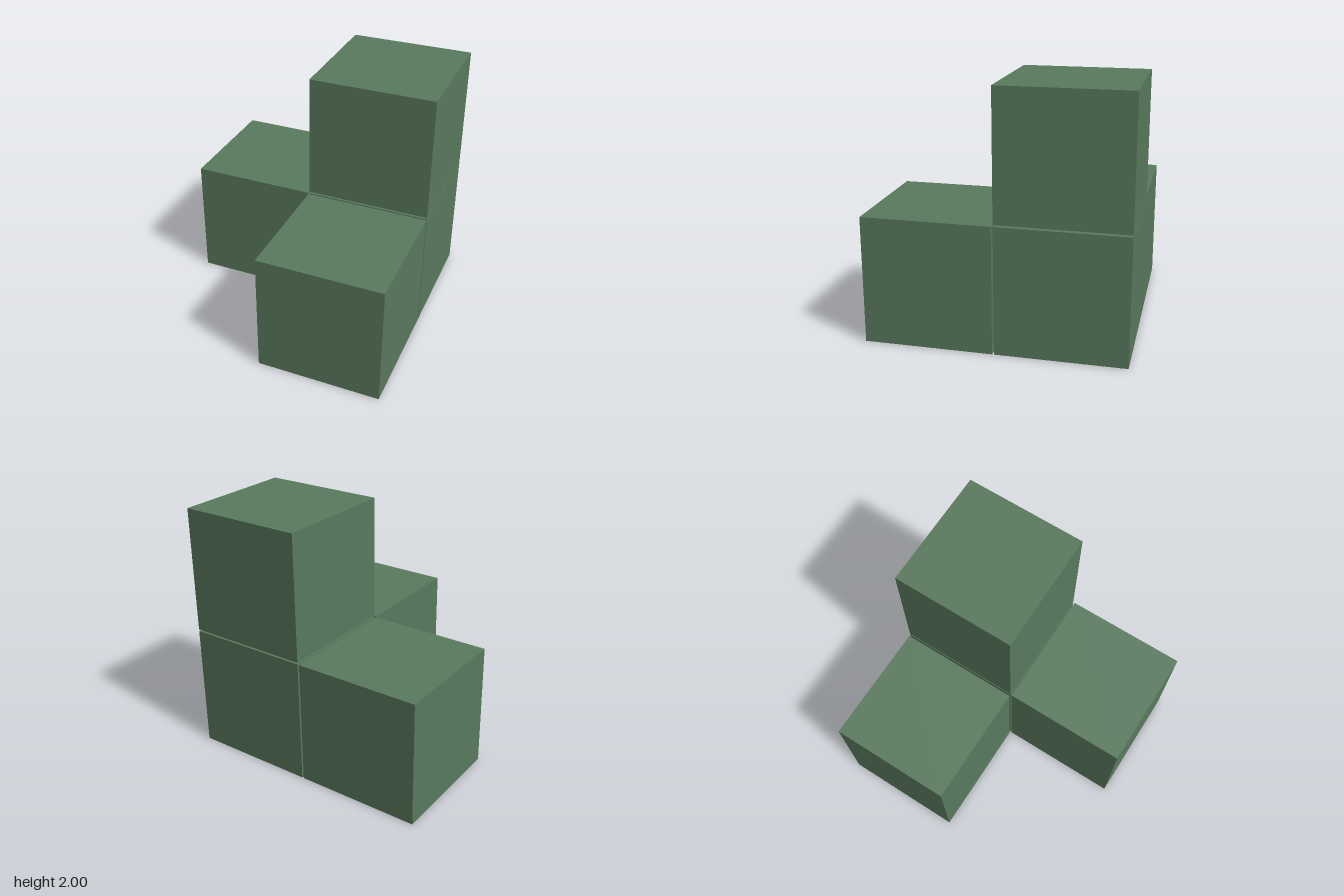
import * as THREE from 'three';

export function createModel() {
  const model = new THREE.Group();
  model.name = 'cornerCubes';

  const green = new THREE.MeshStandardMaterial({ color: 0x5a7a5e });
  green.name = 'mossGreen';

  // Four equal cubes with a narrow gap between neighbours
  const size = 0.993;
  const offset = 1 - size / 2;
  const cube = new THREE.BoxGeometry(size, size, size);

  // Signs of each cube centre about the middle of the model
  const cubes = [
    ['cornerCube', 1, -1, -1],
    ['topCube', 1, 1, -1],
    ['rightCube', -1, -1, -1],
    ['frontCube', 1, -1, 1],
  ];
  for (const [name, x, y, z] of cubes) {
    const mesh = new THREE.Mesh(cube, green);
    mesh.name = name;
    mesh.position.set(x * offset, 1 + y * offset, z * offset);
    model.add(mesh);
  }
  return model;
}
